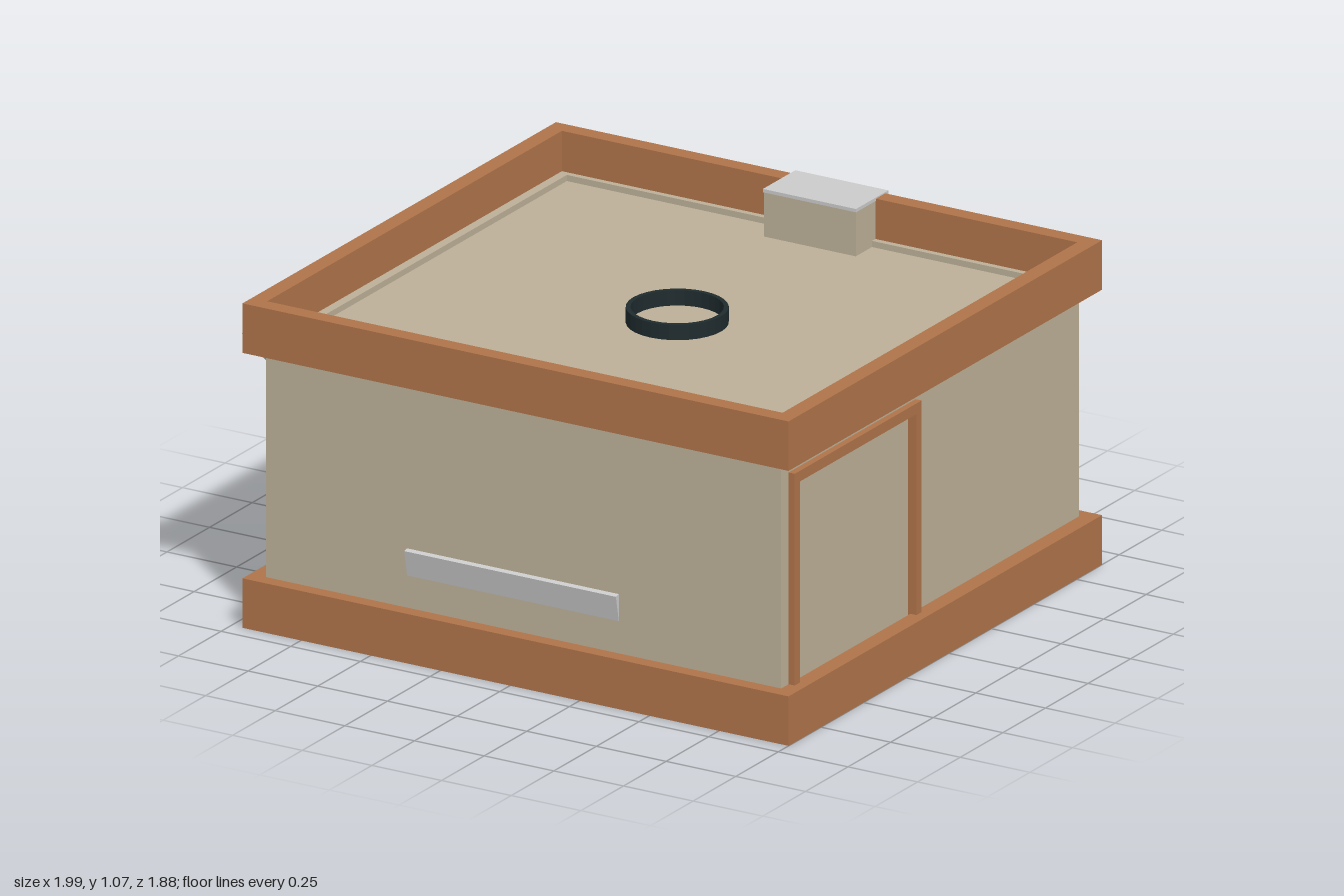
import * as THREE from 'three';

const mat = (color, side = THREE.FrontSide) =>
  new THREE.MeshStandardMaterial({ color, flatShading: true, side });
const WOOD = mat(0xb0744a), WALL = mat(0xbcb098), GREY = mat(0xcccccc), PLATE = mat(0xcccccc, THREE.DoubleSide);
const DARK = mat(0x1f2b2e), OLIVE = mat(0x6b5a2e), POST = mat(0x9c7c45), MAROON = mat(0x4a1518);
const PANEL = mat(0x4a2016), RED = mat(0xb02418), GREEN = mat(0x8a9a28), ORANGE = mat(0xc8701e), WHITE = mat(0xe8e8e8);

const X0 = -0.905, X1 = 0.945, Z0 = -0.855, Z1 = 0.893; // outer wall faces
const T = 0.03;

function add(parent, name, geo, material, x = 0, y = 0, z = 0) {
  const m = new THREE.Mesh(geo, material);
  m.name = name;
  m.position.set(x, y, z);
  parent.add(m);
  return m;
}

// box given by its lower and upper limits
function box(parent, name, material, x0, x1, y0, y1, z0, z1) {
  return add(parent, name, new THREE.BoxGeometry(x1 - x0, y1 - y0, z1 - z0), material,
    (x0 + x1) / 2, (y0 + y1) / 2, (z0 + z1) / 2);
}

function rect(P, x0, x1, y0, y1) {
  const p = new P();
  p.moveTo(x0, y0); p.lineTo(x1, y0); p.lineTo(x1, y1); p.lineTo(x0, y1); p.closePath();
  return p;
}

// rectangular ring, extruded along z
function frameGeo(x0, x1, y0, y1, t, depth) {
  const s = rect(THREE.Shape, x0, x1, y0, y1);
  s.holes.push(rect(THREE.Path, x0 + t, x1 - t, y0 + t, y1 - t));
  return new THREE.ExtrudeGeometry(s, { depth, bevelEnabled: false });
}

// horizontal band around the house
function band(parent, name, y) {
  const m = add(parent, name, frameGeo(-0.96, 1, -0.94, 0.9, 0.055, 0.162), WOOD, 0, y, 0);
  m.rotation.x = -Math.PI / 2;
}

// wall with rectangular openings, outer face at local z = 0
function wall(parent, name, a, b, holes) {
  const s = rect(THREE.Shape, a, b, 0.1, 0.93);
  holes.forEach(h => s.holes.push(rect(THREE.Path, ...h)));
  return add(parent, name, new THREE.ExtrudeGeometry(s, { depth: T, bevelEnabled: false }), WALL, 0, 0, -T);
}

// window, centred on local x, standing out along +z
function windowUnit(parent, x) {
  const g = new THREE.Group();
  g.name = 'window';
  g.position.x = x;
  add(g, 'windowFrame', frameGeo(-0.215, 0.215, 0.365, 0.785, 0.028, 0.095), WOOD, 0, 0, -0.03);
  for (const s of [-1, 1]) {
    box(g, 'sideTrim', WOOD, s * 0.215 - 0.012, s * 0.215 + 0.012, 0.38, 0.795, 0.02, 0.088);
    box(g, 'verticalBar', WOOD, s * 0.068 - 0.009, s * 0.068 + 0.009, 0.385, 0.765, 0.03, 0.055);
  }
  box(g, 'crossBar', WOOD, -0.19, 0.19, 0.615, 0.633, 0.03, 0.055);
  box(g, 'crossBar', WOOD, -0.19, 0.19, 0.47, 0.486, 0.03, 0.055);
  box(g, 'upperSill', WOOD, -0.225, 0.225, 0.36, 0.385, 0, 0.075);
  box(g, 'lowerSill', WOOD, -0.235, 0.235, 0.335, 0.36, 0, 0.05);
  parent.add(g);
}

const opening = x => [x - 0.2, x + 0.2, 0.38, 0.77];

// thin sloping plate standing out from a wall, between two local points
function plate(parent, xa, ya, xb, yb) {
  const m = add(parent, 'slopingPlate', new THREE.BoxGeometry(Math.hypot(xb - xa, yb - ya), 0.012, 0.09), PLATE,
    (xa + xb) / 2, (ya + yb) / 2, 0.043);
  m.rotation.z = Math.atan2(yb - ya, xb - xa);
}

function side(parent, name, x, z, turn) {
  const g = new THREE.Group();
  g.name = name;
  g.position.set(x, 0, z);
  g.rotation.y = turn;
  parent.add(g);
  return g;
}

// sofa along local x, its back towards +z
function sofa(parent, w, x, z, turn, reach) {
  const g = side(parent, 'sofa', x, z, turn);
  box(g, 'sofaBase', GREY, -w / 2, w / 2, 0.088, 0.2, -0.15, 0.14);
  for (const s of [-1, 1]) {
    box(g, 'sofaArm', WHITE, s * w / 2 - 0.03, s * w / 2 + 0.03, 0.085, 0.27, -0.16, 0.14);
    box(g, 'seatCushion', WHITE, s * w / 4 - w / 4 + 0.035, s * w / 4 + w / 4 - 0.035, 0.2, 0.235, -0.14, 0.1);
  }
  const back = box(g, 'sofaBack', GREY, -w / 2 + 0.03, w / 2 - 0.03, 0.1, 0.36, reach - 0.05, reach);
  back.rotation.x = 0.2;
}

export function createModel() {
  const house = new THREE.Group();
  house.name = 'house';

  // shell
  band(house, 'baseBand', 0);
  band(house, 'parapet', 0.9);
  box(house, 'floor', OLIVE, X0, X1, 0.1, 0.12, Z0, Z1);
  box(house, 'roof', WALL, X0, X1, 0.89, 0.91, Z0, Z1);

  const front = side(house, 'frontSide', 0, Z1, 0);
  wall(front, 'frontWall', X0, X1, []);

  // back side, local x runs towards -x
  const back = side(house, 'backSide', 0, Z0, Math.PI);
  const backXs = [0.487, -0.597];
  wall(back, 'backWall', -X1, -X0, backXs.map(opening));
  backXs.forEach(x => windowUnit(back, x));
  plate(back, -0.948, 0.905, -0.8, 0.77);
  plate(back, -0.38, 0.385, 0.27, 0.385);

  // right-hand side as seen from behind, local x runs towards +z
  const west = side(house, 'windowSide', X0, 0, -Math.PI / 2);
  const westXs = [-0.405, 0.5];
  wall(west, 'windowWall', Z0, Z1, westXs.map(opening));
  westXs.forEach(x => windowUnit(west, x));
  plate(west, -0.89, 0.125, -0.62, 0.37);
  plate(west, 0.7, 0.77, 0.885, 0.945);
  box(west, 'wallPanel', PANEL, -0.13, 0.2, 0.57, 0.88, -0.05, 0.006);

  // door side, local x runs towards -z
  const east = side(house, 'doorSide', X1, 0, Math.PI / 2);
  wall(east, 'doorWall', -Z1, -Z0, [[-0.83, -0.125, 0.13, 0.83]]);
  box(east, 'slidingDoor', WALL, -0.84, -0.47, 0.13, 0.84, -0.02, -0.002);
  box(east, 'slidingDoor', WALL, -0.48, -0.12, 0.13, 0.84, -0.026, -0.008);
  box(east, 'doorPost', WOOD, -0.85, -0.82, 0.15, 0.855, -0.03, 0.022);
  box(east, 'doorPost', WOOD, -0.135, -0.105, 0.15, 0.855, -0.03, 0.022);
  box(east, 'doorLintel', WOOD, -0.82, -0.135, 0.82, 0.855, -0.03, 0.022);

  // chimney and fireplace
  box(house, 'chimneyCore', WALL, -0.11, 0.22, 0.56, 1.06, -0.91, -0.73);
  box(house, 'chimneyBack', GREY, -0.112, 0.222, 0.56, 1.06, -0.918, -0.91);
  box(house, 'chimneyCap', GREY, -0.112, 0.222, 1.055, 1.066, -0.918, -0.728);
  box(house, 'mantel', POST, -0.25, 0.3, 0.49, 0.53, -0.885, -0.68);
  for (const s of [-1, 1])
    box(house, 'mantelPost', POST, 0.045 + s * 0.19 - 0.022, 0.045 + s * 0.19 + 0.022, 0.11, 0.5, -0.868, -0.7);
  box(house, 'hearth', PANEL, -0.27, 0.38, 0.092, 0.14, -0.8, -0.6);

  // roof ring
  const ring = [[0.143, 0], [0.158, 0], [0.158, 0.07], [0.143, 0.07], [0.143, 0]].map(p => new THREE.Vector2(...p));
  add(house, 'roofRing', new THREE.LatheGeometry(ring, 32), DARK, 0.05, 0.89, 0.04);

  // rug with an octagon of strips on both faces
  const rug = new THREE.Group();
  rug.name = 'rug';
  rug.position.set(0.055, 0.11, 0.02);
  house.add(rug);
  box(rug, 'rugCloth', MAROON, -0.48, 0.48, -0.015, 0.015, -0.48, 0.48);
  for (let i = 0; i < 8; i++) {
    const a = i * Math.PI / 4;
    const strip = add(rug, 'rugStrip', new THREE.BoxGeometry(0.31, 0.036, 0.025), PANEL,
      Math.sin(a) * 0.4, 0, Math.cos(a) * 0.4);
    strip.rotation.y = a;
  }

  // furniture
  sofa(house, 0.82, -0.018, 0.72, 0, 0.165);
  sofa(house, 0.88, -0.69, 0.04, -Math.PI / 2, 0.15);
  add(house, 'cornerPot', new THREE.CylinderGeometry(0.09, 0.06, 0.25, 20), DARK, -0.74, 0.215, 0.68);
  add(house, 'cornerPlant', new THREE.IcosahedronGeometry(0.15, 1), RED, -0.74, 0.48, 0.66);
  add(house, 'stove', new THREE.CylinderGeometry(0.1, 0.1, 0.5, 20), DARK, 0.74, 0.36, -0.55);

  // plant and boxes beside the fireplace
  add(house, 'plantStem', new THREE.CylinderGeometry(0.025, 0.025, 0.2, 8), GREEN, -0.38, 0.19, -0.67);
  add(house, 'plantLeaves', new THREE.ConeGeometry(0.15, 0.36, 10), GREEN, -0.38, 0.42, -0.62);
  box(house, 'redBox', RED, -0.3, -0.1, 0.12, 0.36, -0.58, -0.42);
  box(house, 'orangeBox', ORANGE, -0.52, -0.36, 0.12, 0.26, -0.55, -0.42);
  box(house, 'whiteBox', WHITE, -0.78, -0.62, 0.12, 0.3, -0.68, -0.52);
  box(house, 'redBox', RED, -0.74, -0.56, 0.23, 0.4, -0.4, -0.24);
  return house;
}
